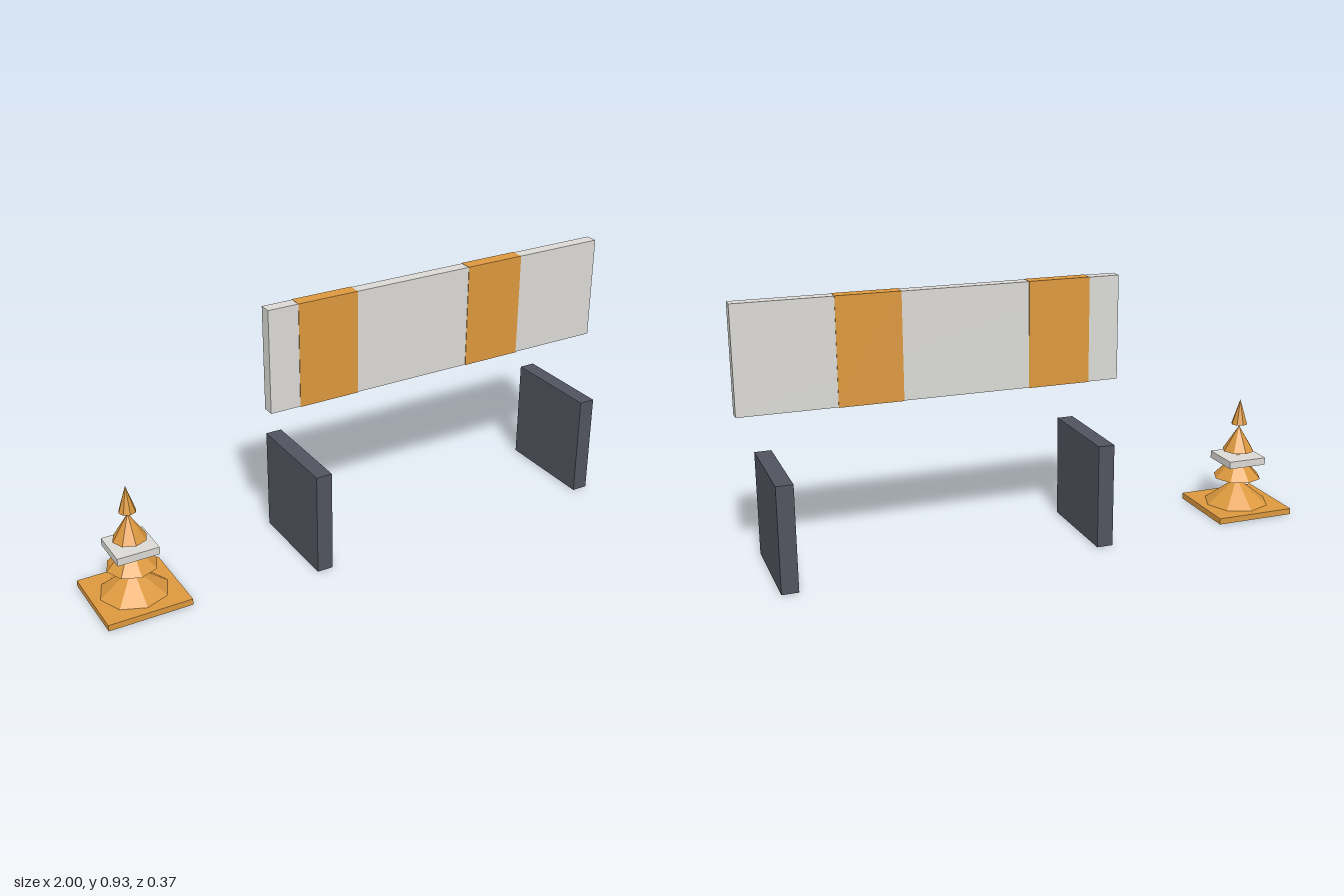
import * as THREE from 'three';

export function createModel() {
  const material = (name, color, flatShading = false) => {
    const m = new THREE.MeshStandardMaterial({ color, flatShading });
    m.name = name;
    return m;
  };
  const orange = material('orange', 0xdc983e, true);
  const white = material('white', 0xdad9d5);
  const dark = material('dark grey', 0x50545e);

  const add = (parent, name, geometry, mat, x, y, z = 0) => {
    const mesh = new THREE.Mesh(geometry, mat);
    mesh.name = name;
    mesh.position.set(x, y, z);
    parent.add(mesh);
    return mesh;
  };
  const model = new THREE.Group();
  model.name = 'roadBarrierSet';

  // Barrier: floating board, stripe bands wrapped round it, and two feet
  const barrier = new THREE.Group();
  barrier.name = 'barrier';
  model.add(barrier);
  add(barrier, 'board', new THREE.BoxGeometry(1.334, 0.37, 0.044), white, 0.333, 0.743);
  for (const x of [-0.113, 0.554]) {
    add(barrier, 'stripe', new THREE.BoxGeometry(0.222, 0.372, 0.048), orange, x, 0.743);
  }
  for (const x of [-0.225, 0.886]) {
    add(barrier, 'foot', new THREE.BoxGeometry(0.058, 0.37, 0.37), dark, x, 0.185);
  }

  // Traffic cone: square base, four stacked eight-sided cones, square collar
  const cone = new THREE.Group();
  cone.name = 'trafficCone';
  cone.position.x = -0.852;
  model.add(cone);
  add(cone, 'coneBase', new THREE.BoxGeometry(0.296, 0.022, 0.296), orange, 0, 0.011);
  const tiers = [[0.119, 0.022], [0.089, 0.122], [0.059, 0.226], [0.03, 0.328]];
  for (const [radius, y] of tiers) {
    const height = 0.094;
    add(cone, 'coneTier', new THREE.ConeGeometry(radius, height, 8), orange, 0, y + height / 2);
  }
  add(cone, 'collar', new THREE.BoxGeometry(0.147, 0.027, 0.147), white, 0, 0.194);

  return model;
}
